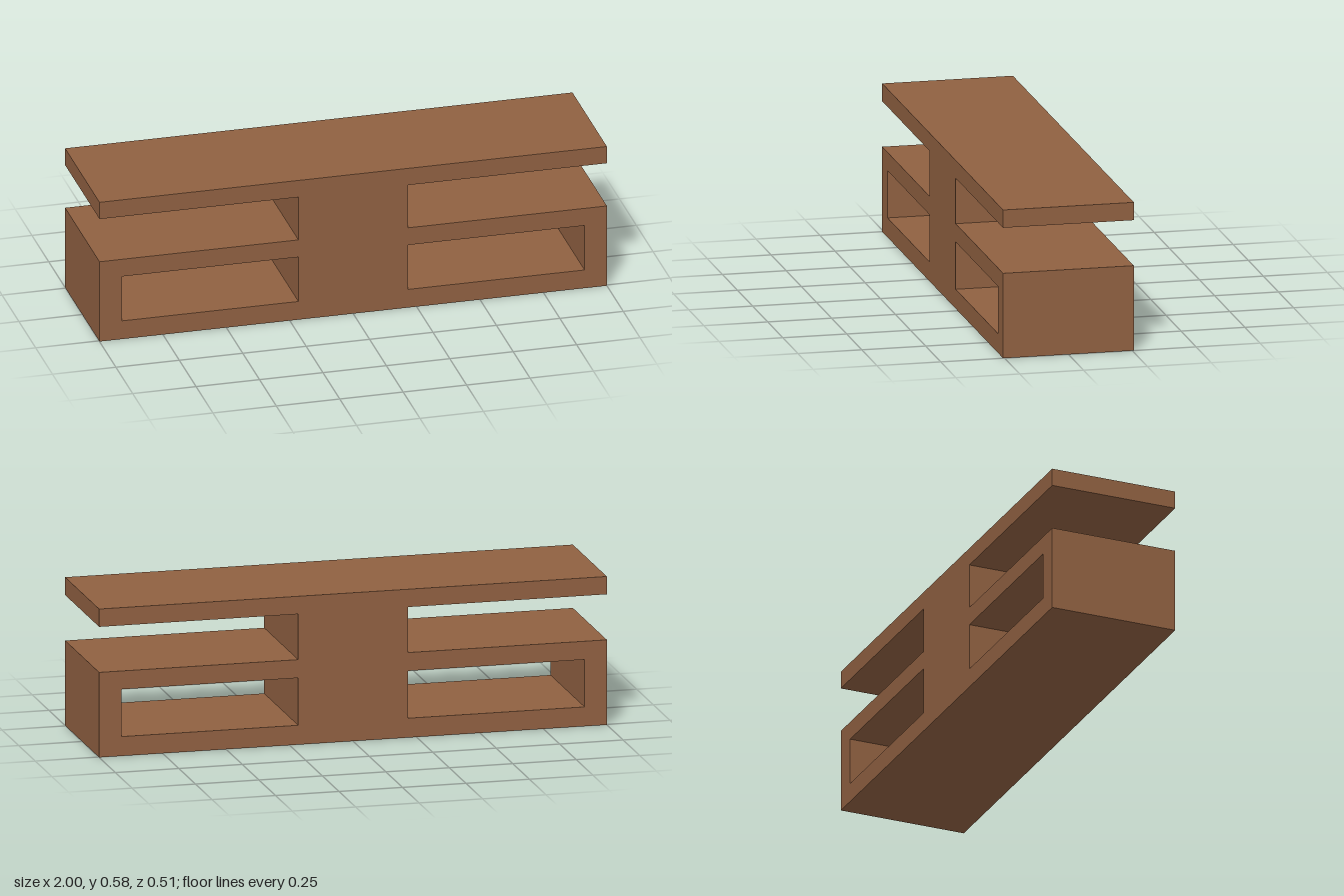
import * as THREE from 'three';

// Closed path through a list of [x, y] corners
const trace = (path, corners) => {
  corners.forEach(([x, y], i) => (i ? path.lineTo(x, y) : path.moveTo(x, y)));
  path.closePath();
  return path;
};

export function createModel() {
  const group = new THREE.Group();
  group.name = 'shelfUnit';
  const wood = new THREE.MeshStandardMaterial({ color: 0x8f6041 });
  wood.name = 'brownWood';

  const halfWidth = 1, halfColumn = 0.216, windowEnd = 0.912, depth = 0.512;
  const top = 0.583, slabBottom = 0.513, shelfTop = 0.334;
  const windowTop = 0.262, windowBottom = 0.076;

  // Outline: top board, central column and lower box, with a slot on each side
  const right = [
    [halfWidth, 0], [halfWidth, shelfTop], [halfColumn, shelfTop],
    [halfColumn, slabBottom], [halfWidth, slabBottom], [halfWidth, top],
  ];
  const left = right.map(([x, y]) => [-x, y]).reverse();
  const outline = trace(new THREE.Shape(), [...right, ...left]);

  // Open compartments through the lower box
  for (const side of [-1, 1]) {
    outline.holes.push(trace(new THREE.Path(), [
      [side * halfColumn, windowBottom], [side * halfColumn, windowTop],
      [side * windowEnd, windowTop], [side * windowEnd, windowBottom],
    ]));
  }

  const geometry = new THREE.ExtrudeGeometry(outline, { depth, bevelEnabled: false });
  geometry.translate(0, 0, -depth / 2);
  const body = new THREE.Mesh(geometry, wood);
  body.name = 'shelfBody';
  group.add(body);
  return group;
}
